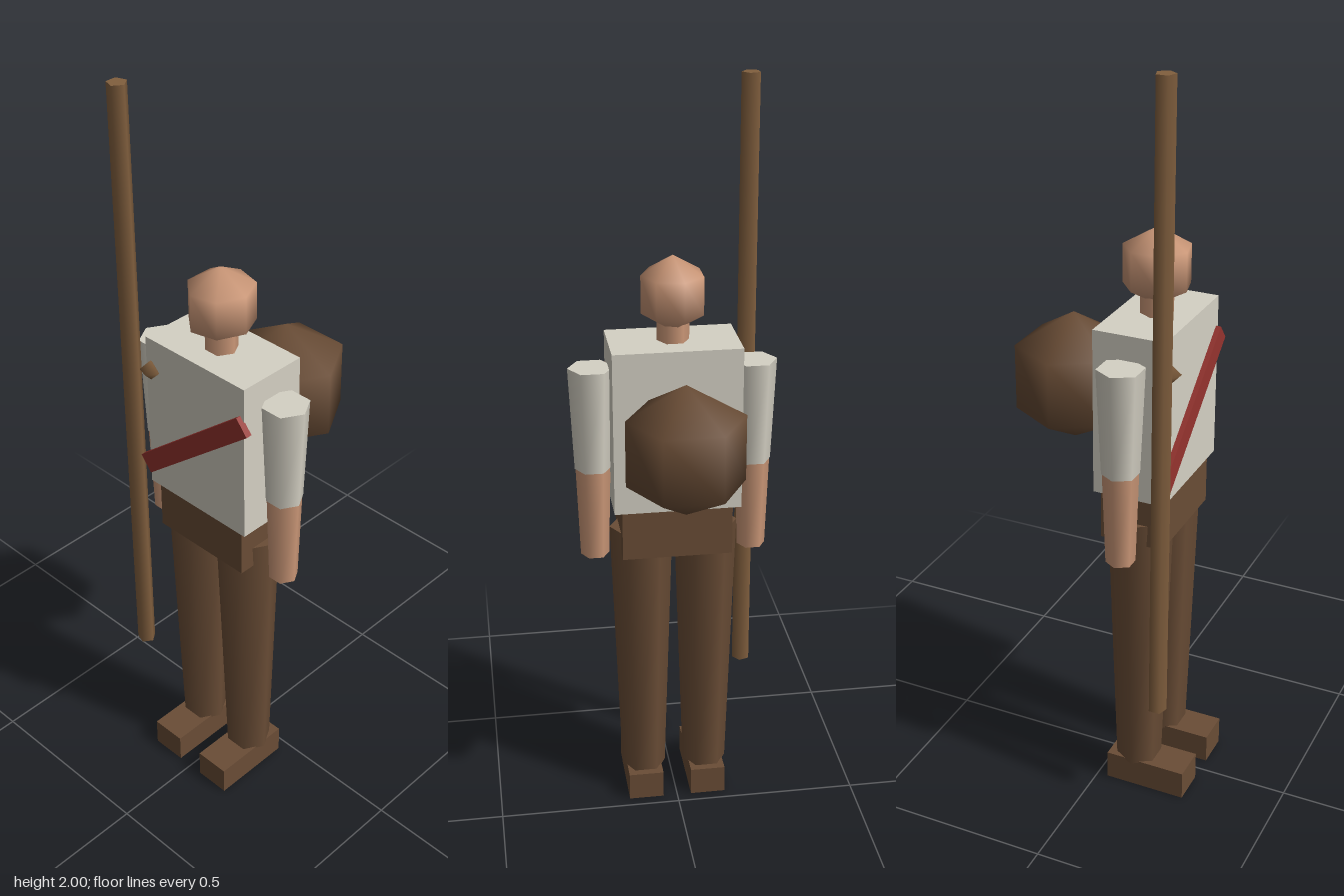
import * as THREE from 'three';

const paint = (name, color) => {
  const m = new THREE.MeshStandardMaterial({ color });
  m.name = name;
  return m;
};

export function createModel() {
  const model = new THREE.Group();
  model.name = 'traveller';

  const skin = paint('skin', 0xcc9878);
  const cream = paint('cream cloth', 0xd5d1c4);
  const brown = paint('dark brown', 0x6a4d36);
  const wood = paint('wood', 0x815f3e);
  const red = paint('red cloth', 0x95332e);

  const Z = 0.104; // depth of the body's axis

  const add = (name, geometry, material, x, y, z) => {
    const mesh = new THREE.Mesh(geometry, material);
    mesh.name = name;
    mesh.position.set(x, y, z);
    model.add(mesh);
    return mesh;
  };
  const box = (name, w, h, d, material, x, y, z) =>
    add(name, new THREE.BoxGeometry(w, h, d), material, x, y, z);
  // Tapered prism from y0 to y1 with one corner pointing along +x
  const limb = (name, rTop, rBottom, y0, y1, sides, material, x, z) =>
    add(name, new THREE.CylinderGeometry(rTop, rBottom, y1 - y0, sides).rotateY(Math.PI / 2),
      material, x, (y0 + y1) / 2, z);
  // Coarse ball with one corner pointing along +x
  const ball = (name, r, sides, rings, material, x, y, z) =>
    add(name, new THREE.SphereGeometry(r, sides, rings).rotateY(Math.PI), material, x, y, z);

  // Trunk and head
  box('torso', 0.334, 0.44, 0.192, cream, 0, 1.135, Z);
  box('hips', 0.292, 0.14, 0.17, brown, 0, 0.846, Z);
  limb('neck', 0.042, 0.042, 1.33, 1.42, 6, skin, 0, Z);
  ball('head', 0.1, 7, 3, skin, 0, 1.477, Z).scale.x = 0.947;

  // Arms, legs and shoes
  for (const [side, s] of [['left', 1], ['right', -1]]) {
    limb(side + 'Sleeve', 0.06, 0.048, 1.01, 1.29, 6, cream, s * 0.212, Z);
    limb(side + 'Forearm', 0.046, 0.038, 0.76, 1.01, 6, skin, s * 0.212, Z);
    limb(side + 'Leg', 0.085, 0.061, 0.075, 0.835, 6, brown, s * 0.087, Z);
    box(side + 'Shoe', 0.097, 0.08, 0.224, brown, s * 0.088, 0.04, 0.142);
  }

  // Sash across the chest
  box('sash', 0.445, 0.053, 0.017, red, 0, 1.115, 0.205).rotation.z = 0.69;

  // Gear: round pack, chest toggle and walking staff
  ball('backpack', 0.175, 6, 3, brown, 0, 1.143, -0.124);
  ball('toggle', 0.028, 5, 2, wood, -0.148, 1.268, 0.204);
  limb('staff', 0.025, 0.025, 0.337, 2, 5, wood, -0.211, 0.209);

  return model;
}
